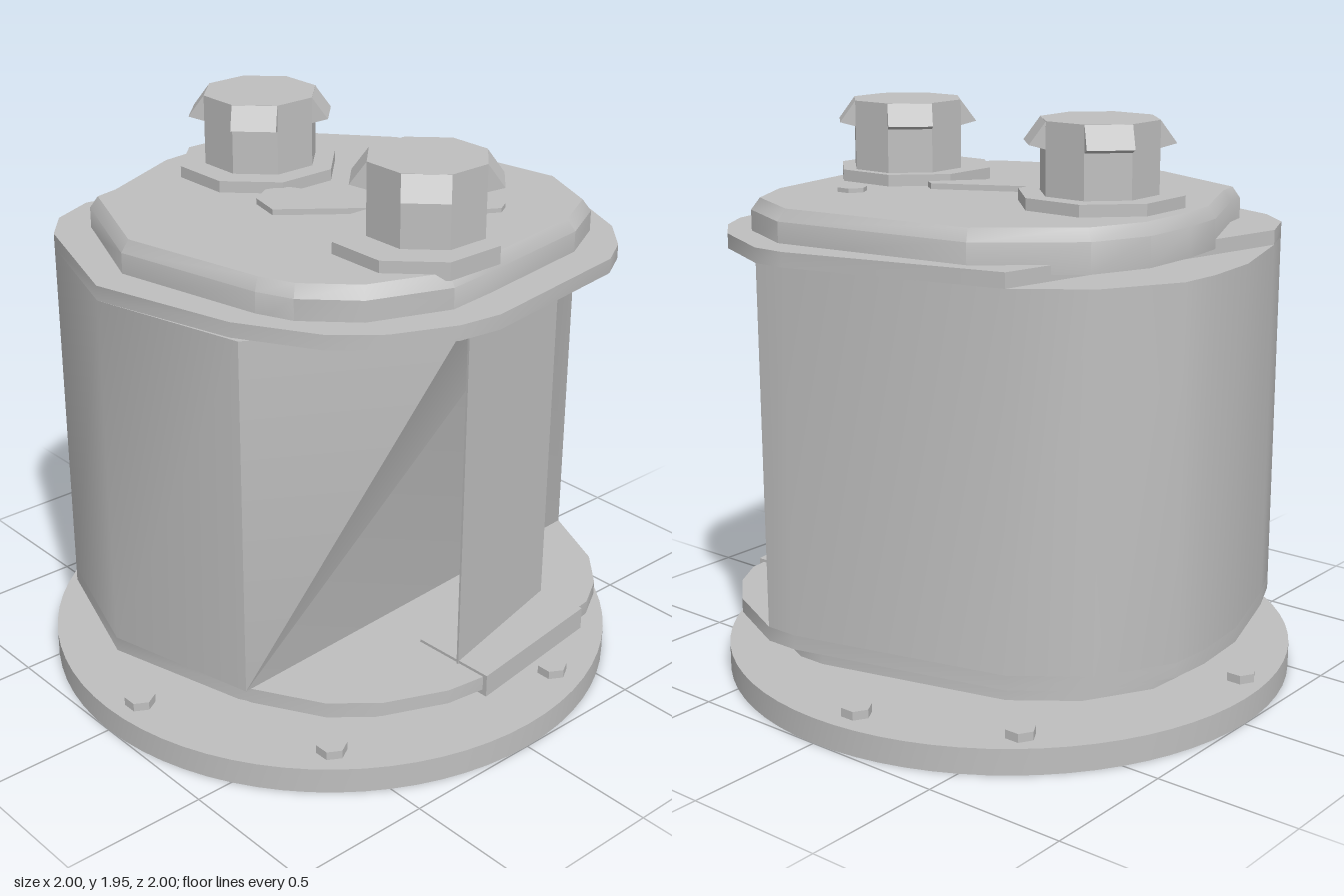
import * as THREE from 'three';
import { toCreasedNormals } from 'three/addons/utils/BufferGeometryUtils.js';

const grey = new THREE.MeshStandardMaterial({ color: 0xbfbfbf });
grey.name = 'plain grey';

// Closed solid through rings of [x, z] points, each at its own height
function loft(rings) {
  const pos = [];
  const n = rings[0].pts.length;
  const put = (ring, i) => pos.push(ring.pts[i][0], ring.y, ring.pts[i][1]);
  for (let r = 0; r < rings.length - 1; r++) {
    const lo = rings[r], hi = rings[r + 1];
    for (let i = 0; i < n; i++) {
      const j = (i + 1) % n;
      put(lo, i); put(lo, j); put(hi, j);
      put(lo, i); put(hi, j); put(hi, i);
    }
  }
  const cap = (ring, up) => {
    const contour = ring.pts.map(([x, z]) => new THREE.Vector2(x, -z));
    for (const [a, b, c] of THREE.ShapeUtils.triangulateShape(contour, [])) {
      put(ring, a); put(ring, up ? b : c); put(ring, up ? c : b);
    }
  };
  cap(rings[0], false);
  cap(rings[rings.length - 1], true);
  const geo = new THREE.BufferGeometry();
  geo.setAttribute('position', new THREE.Float32BufferAttribute(pos, 3));
  return toCreasedNormals(geo, 0.6);
}
const slab = (pts, y0, y1) => loft([{ y: y0, pts }, { y: y1, pts }]);
const scaled = (pts, s) => pts.map(([x, z]) => [x * s, z * s]);

export function createModel() {
  const model = new THREE.Group();
  const add = (name, geo, parent = model) => {
    const mesh = new THREE.Mesh(geo, grey);
    mesh.name = name;
    parent.add(mesh);
    return mesh;
  };
  const hexBolt = (name, x, y, z, h) =>
    add(name, toCreasedNormals(new THREE.CylinderGeometry(0.052, 0.052, h, 6), 0.3)).position.set(x, y + h / 2, z);

  // Outlines, running along the front first, then the right edge and the back
  const front = [[-0.75, 0.4], [-0.6, 0.66], [-0.46, 0.78], [-0.25, 0.87], [-0.1, 0.89],
    [0.5, 0.8], [0.62, 0.73], [0.74, 0.6], [0.86, 0.34]];
  const back = [[0.5, -0.75], [0.25, -0.89], [0.1, -0.9], [-0.12, -0.88]];
  const rightSide = [[0.86, 0.22], [0.67, -0.53]];
  const leftSide = [[-0.46, -0.77], [-0.62, -0.7], [-0.72, -0.58], [-0.88, -0.1]];
  const rest = [...rightSide, ...back, ...leftSide];
  const full = [...front, ...rest];

  // Base disc and its bolts
  const disc = add('baseDisc', toCreasedNormals(new THREE.CylinderGeometry(1, 1, 0.09, 72), 0.6));
  disc.position.y = 0.045;
  for (const [x, z] of [[-0.9, 0.05], [0.89, -0.09], [0.68, -0.6], [-0.13, -0.9], [0.29, 0.84], [-0.59, 0.68]])
    hexBolt('baseBolt', x, 0.08, z, 0.04);

  // Stepped foot below the body
  add('foot', loft([
    { y: 0.08, pts: scaled(full, 0.72) },
    { y: 0.14, pts: scaled(full, 0.84) },
  ]));
  add('footFlange', slab(scaled(full, 0.88), 0.14, 0.18));
  add('bodyUnderside', loft([
    { y: 0.18, pts: scaled(full, 0.88) },
    { y: 0.22, pts: full },
  ]));
  add('lowerLedge', slab(full, 0.22, 0.27));

  // Body with a front wall sloping back towards its foot
  const bl = [-0.75, 0.44], br = [0.86, 0.34];
  add('body', loft([
    { y: 0.27, pts: [bl, bl, br, br, ...rest] },
    { y: 1.51, pts: [bl, [-0.12, 0.775], [0.42, 0.645], br, ...rest] },
  ]));
  add('frontPanel', slab([[-0.12, 0.782], [0.42, 0.655], [0.42, 0.647], [-0.12, 0.774]], 0.27, 1.51));
  add('panelLip', slab([[-0.12, 0.6], [-0.11, 0.905], [0.44, 0.83], [0.44, 0.6]], 0.2, 0.28));

  // Top plate, cut straight at the back
  add('topPlate', slab([...front, ...rightSide, ...leftSide], 1.51, 1.56));

  // Lid with a bevelled rim
  const lid = [[-0.65, 0.4], [-0.6, 0.52], [-0.45, 0.67], [-0.18, 0.77], [0, 0.75], [0.46, 0.68],
    [0.65, 0.58], [0.76, 0.34], [0.66, -0.37], [0.42, -0.66], [0.22, -0.74], [0, -0.74],
    [-0.17, -0.72], [-0.5, -0.57], [-0.59, -0.55], [-0.76, -0.13]];
  add('lid', loft([
    { y: 1.53, pts: lid },
    { y: 1.63, pts: lid },
    { y: 1.67, pts: scaled(lid, 0.965) },
  ]));
  add('lidTongue', slab([[-0.25, 0], [0.1, 0.28], [0.13, 0.24], [-0.07, -0.15], [-0.14, -0.17], [-0.22, -0.12]], 1.66, 1.69));
  hexBolt('lidBolt', 0.33, 1.66, 0.42, 0.025);

  // Two octagonal caps, each with a flange and four flared flaps
  const flapShape = new THREE.Shape([[0, 0], [0, -0.09], [0.055, -0.075]].map(p => new THREE.Vector2(...p)));
  const makeCap = (name, x, z, fx) => {
    const cap = new THREE.Group();
    cap.name = name;
    cap.position.set(x, 0, z);
    const octagon = (part, r, y0, y1) => {
      const geo = new THREE.CylinderGeometry(r, r, y1 - y0, 8).rotateY(Math.PI / 8).translate(0, (y0 + y1) / 2, 0);
      return add(part, toCreasedNormals(geo, 0.3), cap);
    };
    octagon('capFlange', 0.28, 1.65, 1.71).position.x = fx;
    octagon('capStem', 0.2, 1.7, 1.95);
    for (let k = 0; k < 4; k++) {
      const geo = new THREE.ExtrudeGeometry(flapShape, { depth: 0.153, bevelEnabled: false });
      geo.translate(0.184, 1.95, -0.0765).rotateY(Math.PI / 4 + k * Math.PI / 2);
      add('capFlap', geo, cap);
    }
    model.add(cap);
  };
  makeCap('backCap', 0.03, -0.4, -0.01);
  makeCap('frontCap', -0.04, 0.5, -0.04);
  return model;
}
